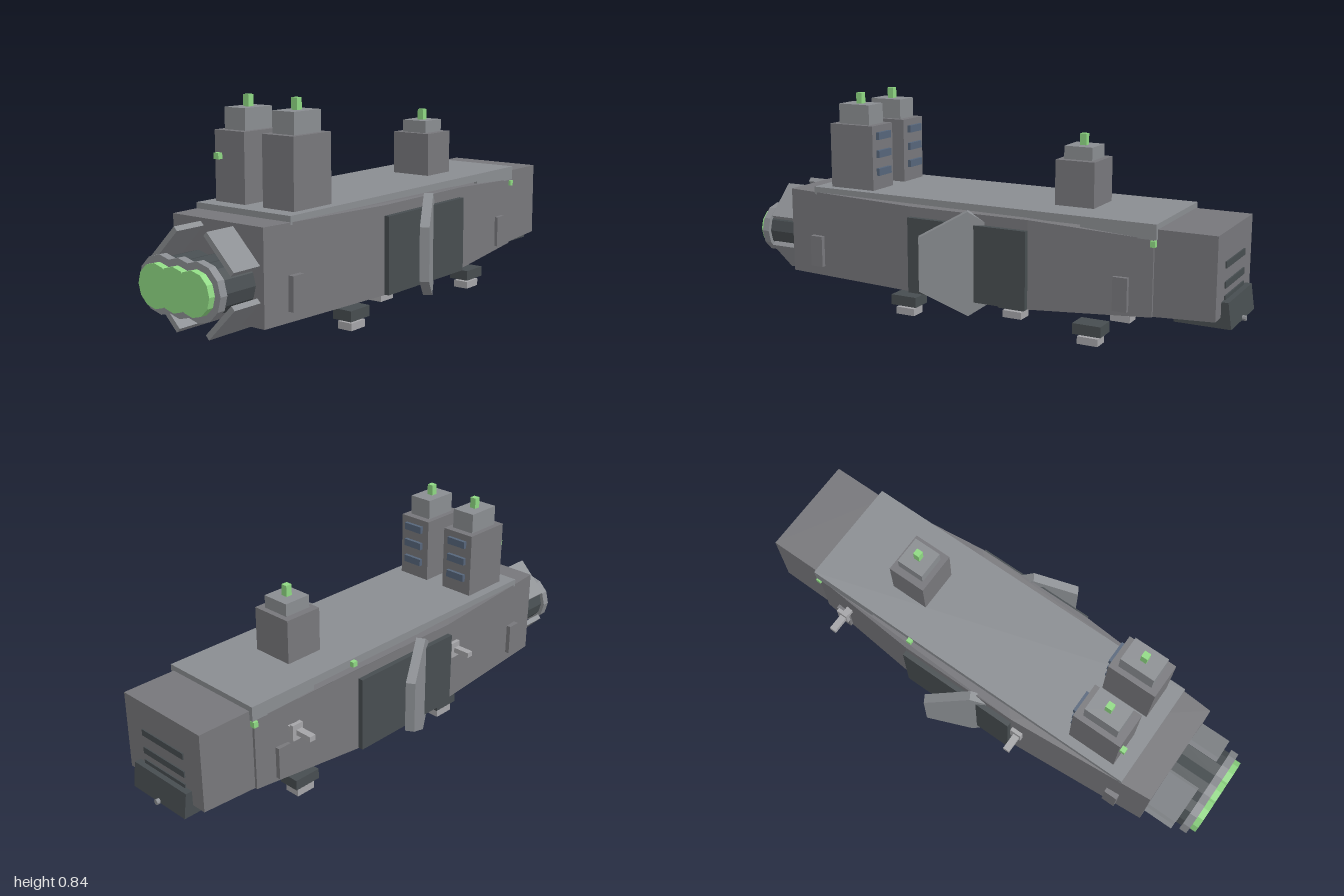
import * as THREE from 'three';

const mat = (color) => new THREE.MeshStandardMaterial({ color, flatShading: true });

export function createModel() {
  const ship = new THREE.Group();
  const hullMat = mat(0x77777b), plate = mat(0x8a8d91), dark = mat(0x474d50);
  const pale = mat(0xa5a5a8), green = mat(0x8fd883), glass = mat(0x56657a);

  const add = (name, geo, material, parent = ship) => {
    const m = new THREE.Mesh(geo, material);
    m.name = name;
    parent.add(m);
    return m;
  };
  // Box given by its extents along each axis
  const box = (name, material, [x0, x1], [y0, y1], [z0, z1]) => {
    const m = add(name, new THREE.BoxGeometry(x1 - x0, y1 - y0, z1 - z0), material);
    m.position.set((x0 + x1) / 2, (y0 + y1) / 2, (z0 + z1) / 2);
    return m;
  };
  const shapeOf = (pts) => new THREE.Shape(pts.map(([x, y]) => new THREE.Vector2(x, y)));
  const extrude = (pts, depth) => new THREE.ExtrudeGeometry(shapeOf(pts), { depth, bevelEnabled: false });

  // Raised keel: the underside climbs gently towards the bow
  const keel = (x) => 0.12 + 0.04 * Math.max(0, (x - 0.275) / 0.675);

  // Extruded plan outline with a sloping keel and optional drooping top
  const planSolid = (name, half, top) => {
    const pts = [...half, ...half.map(([x, z]) => [x, -z]).reverse()].reverse();
    const g = extrude(pts, 1);
    g.rotateX(-Math.PI / 2);
    const p = g.attributes.position;
    for (let i = 0; i < p.count; i++) p.setY(i, p.getY(i) < 0.5 ? keel(p.getX(i)) : top(p.getX(i)));
    g.computeVertexNormals();
    return add(name, g, hullMat);
  };
  planSolid('hull', [[-0.8, 0.205], [-0.215, 0.25], [0.275, 0.25], [0.73, 0.21]],
    (x) => (x > 0.5 ? 0.42 : x < -0.5 ? 0.455 : 0.448));
  planSolid('bow', [[0.72, 0.2], [0.95, 0.2]], () => 0.455);

  // Deck with side skirts near the bow
  box('deck', plate, [-0.68, 0.74], [0.445, 0.475], [-0.215, 0.215]);
  for (const s of [1, -1]) {
    const side = (a, b) => (s > 0 ? [a, b] : [-b, -a]);
    box('deckSkirt', plate, [0.46, 0.74], [0.42, 0.45], side(0.2, 0.215));
    box('skirtLight', green, [0.72, 0.738], [0.395, 0.417], side(0.2, 0.22));
    box('sidePanel', dark, [-0.215, 0.275], [0.122, 0.41], side(0.24, 0.27));
    for (const x of [-0.665, 0.62]) box('sideVent', hullMat, [x - 0.027, x + 0.027], [0.158, 0.28], side(0.2, 0.235));
  }
  box('deckLight', green, [0.263, 0.283], [0.45, 0.47], [-0.232, -0.214]);

  // Angled wing plates, the second turned half a circle from the first
  for (const turn of [0, Math.PI]) {
    const pivot = new THREE.Group();
    pivot.name = 'wing';
    pivot.rotation.y = turn;
    ship.add(pivot);
    const g = extrude([[-0.08, 0.12], [0, 0.07], [0.178, 0.165], [0.178, 0.365], [0, 0.46], [-0.08, 0.41]], 0.035);
    g.translate(0, 0, -0.0175);
    const wing = add('wingPlate', g, plate, pivot);
    wing.rotation.y = Math.PI * 7 / 6;
    wing.position.set(0.04, 0, 0.265);
  }

  // Towers: block, cap and beacon
  const tower = (x, z, w, d, top, capW, capD, capTop) => {
    const span = (c, size) => [c - size / 2, c + size / 2];
    box('tower', hullMat, span(x, w), [0.47, top], span(z, d));
    box('towerCap', plate, span(x, capW), [top, capTop], span(z, capD));
    box('beacon', green, span(x, 0.025), [capTop, capTop + 0.042], span(z, 0.025));
  };
  tower(0.378, 0, 0.153, 0.166, 0.642, 0.11, 0.11, 0.69);
  for (const z of [0.11, -0.11]) {
    tower(-0.523, z, 0.195, 0.138, 0.725, 0.138, 0.096, 0.802);
    const c = Math.sign(z) * 0.112;
    for (const y of [0.545, 0.615, 0.685])
      box('towerWindow', glass, [-0.43, -0.412], [y - 0.014, y + 0.014], [c - 0.042, c + 0.042]);
  }
  box('towerLight', green, [-0.64, -0.618], [0.625, 0.647], [-0.167, -0.145]);

  // Bow slots, chin and probe
  for (const y of [0.217, 0.267, 0.337]) box('bowSlot', dark, [0.94, 0.955], [y - 0.012, y + 0.012], [-0.11, 0.11]);
  const chin = extrude([[0.785, 0.122], [0.988, 0.122], [0.975, 0.215], [0.785, 0.215]], 0.28);
  chin.translate(0, 0, -0.14);
  add('chin', chin, dark);
  const probe = add('probe', new THREE.CylinderGeometry(0.01, 0.01, 0.04, 8), plate);
  probe.rotation.z = Math.PI / 2;
  probe.position.set(0.98, 0.127, 0);

  // Engines: body, rim and glowing disc
  const drum = (name, material, r, x0, x1, z) => {
    const m = add(name, new THREE.CylinderGeometry(r, r, x1 - x0, 12), material);
    m.rotation.z = Math.PI / 2;
    m.position.set((x0 + x1) / 2, 0.26, z);
  };
  for (const z of [-0.085, 0, 0.085]) {
    drum('engineBody', dark, 0.085, -0.95, -0.78, z);
    drum('engineRim', plate, 0.1, -0.975, -0.945, z);
    drum('engineGlow', green, 0.076, -1, -0.97, z);
  }
  // Slanted guard plates around the engines
  for (const sy of [1, -1]) for (const sz of [1, -1]) {
    const m = add('engineGuard', new THREE.BoxGeometry(0.24, 0.02, 0.164), plate);
    m.position.set(-0.8, 0.267 + sy * 0.112, sz * 0.125);
    m.rotation.x = sy * sz * Math.PI / 4;
  }

  // Floating landing pads below the keel
  for (const [x, z] of [[-0.285, 0.155], [-0.285, -0.155], [0.1, 0], [0.482, 0.155], [0.482, -0.155]]) {
    box('padHousing', dark, [x - 0.055, x + 0.055], [0.038, 0.078], [z - 0.041, z + 0.041]);
    box('padFoot', pale, [x - 0.04, x + 0.04], [0, 0.028], [z - 0.031, z + 0.031]);
  }

  // Small side turrets
  for (const x of [-0.252, 0.58]) {
    box('turretBarrel', pale, [x - 0.013, x + 0.013], [0.325, 0.345], [-0.332, -0.215]);
    box('turretCross', pale, [x - 0.018, x + 0.028], [0.305, 0.366], [-0.265, -0.25]);
  }
  return ship;
}
